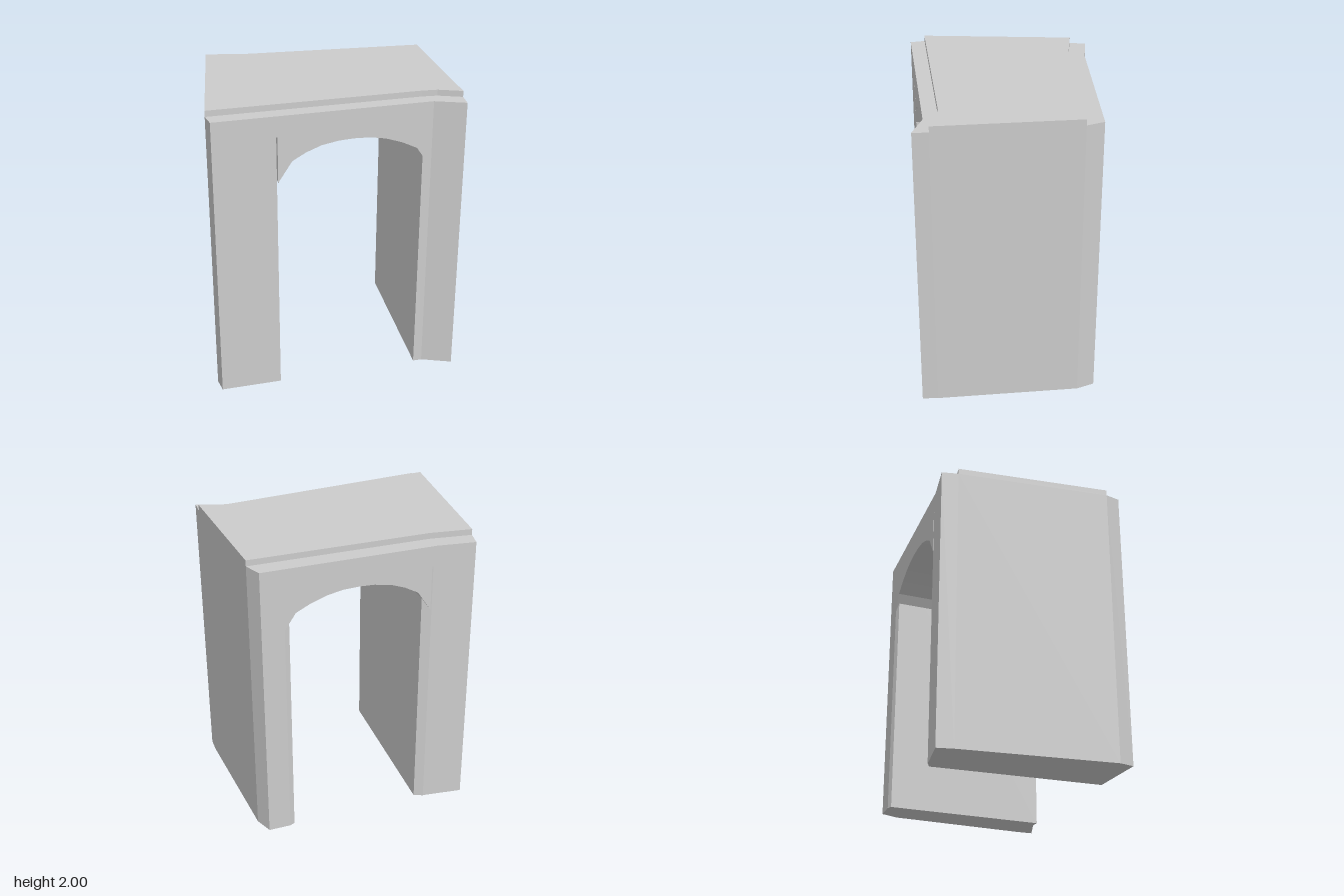
import * as THREE from 'three';

const BODY_TOP = 1.96, TOP = 2;

// The two long facades run slightly askew
const frontZ = x => 0.555 + (0.62 - x) * 0.049;
const backZ = x => -0.549 - (0.745 - x) * 0.0343;

function toShape(points) {
  return new THREE.Shape(points.map(([x, y]) => new THREE.Vector2(x, y)));
}

function makeMesh(name, geometry) {
  const mesh = new THREE.Mesh(geometry,
    new THREE.MeshStandardMaterial({ color: 0xcccccc, flatShading: true, side: THREE.DoubleSide }));
  mesh.name = name;
  return mesh;
}

// Raises a ground plan given as [x, z] corners
function raisePlan(name, plan, y0, y1) {
  const geometry = new THREE.ExtrudeGeometry(toShape(plan.map(([x, z]) => [x, -z])),
    { depth: y1 - y0, bevelEnabled: false });
  geometry.rotateX(-Math.PI / 2).translate(0, y0, 0);
  return makeMesh(name, geometry);
}

export function createModel() {
  const group = new THREE.Group();
  group.name = 'archedGateway';

  // Wide pier, its inner wall slanting into the passage towards the back
  group.add(raisePlan('widePier', [
    [-0.825, 0.525], [-0.805, 0.625], [-0.4, frontZ(-0.4)],
    [-0.34, -0.56], [-0.4, backZ(-0.4)], [-0.42, backZ(-0.42)],
    [-0.675, -0.63], [-0.7, -0.52],
  ], 0, BODY_TOP));

  // Narrow pier with a flared front corner
  group.add(raisePlan('narrowPier', [
    [0.56, frontZ(0.56)], [0.62, frontZ(0.62)], [0.818, 0.625], [0.823, 0.52],
    [0.79, -0.43], [0.745, backZ(0.745)], [0.595, backZ(0.595)], [0.56, -0.54],
  ], 0, BODY_TOP));

  // Vault between the piers, with a narrow slit beside the wide pier
  const vault = new THREE.ExtrudeGeometry(toShape([
    [-0.41, BODY_TOP], [-0.41, 1.82], [-0.392, 1.82], [-0.392, 1.51],
    [-0.3, 1.65], [-0.21, 1.7], [-0.11, 1.738], [0, 1.757], [0.1, 1.762],
    [0.21, 1.757], [0.31, 1.738], [0.42, 1.7], [0.52, 1.65], [0.56, 1.59],
    [0.6, 1.53], [0.6, BODY_TOP],
  ]), { depth: 1, bevelEnabled: false });
  const pos = vault.attributes.position;
  for (let i = 0; i < pos.count; i++) {
    const x = pos.getX(i);
    pos.setZ(i, pos.getZ(i) > 0.5 ? frontZ(x) : backZ(x));
  }
  vault.computeVertexNormals();
  group.add(makeMesh('archedVault', vault));

  // Thin roof slab set back from both facades
  group.add(raisePlan('roofSlab', [
    [-0.825, 0.525], [0.57, 0.46], [0.67, 0.465], [0.823, 0.52],
    [0.79, -0.43], [-0.42, -0.475], [-0.7, -0.52],
  ], BODY_TOP, TOP));

  return group;
}
